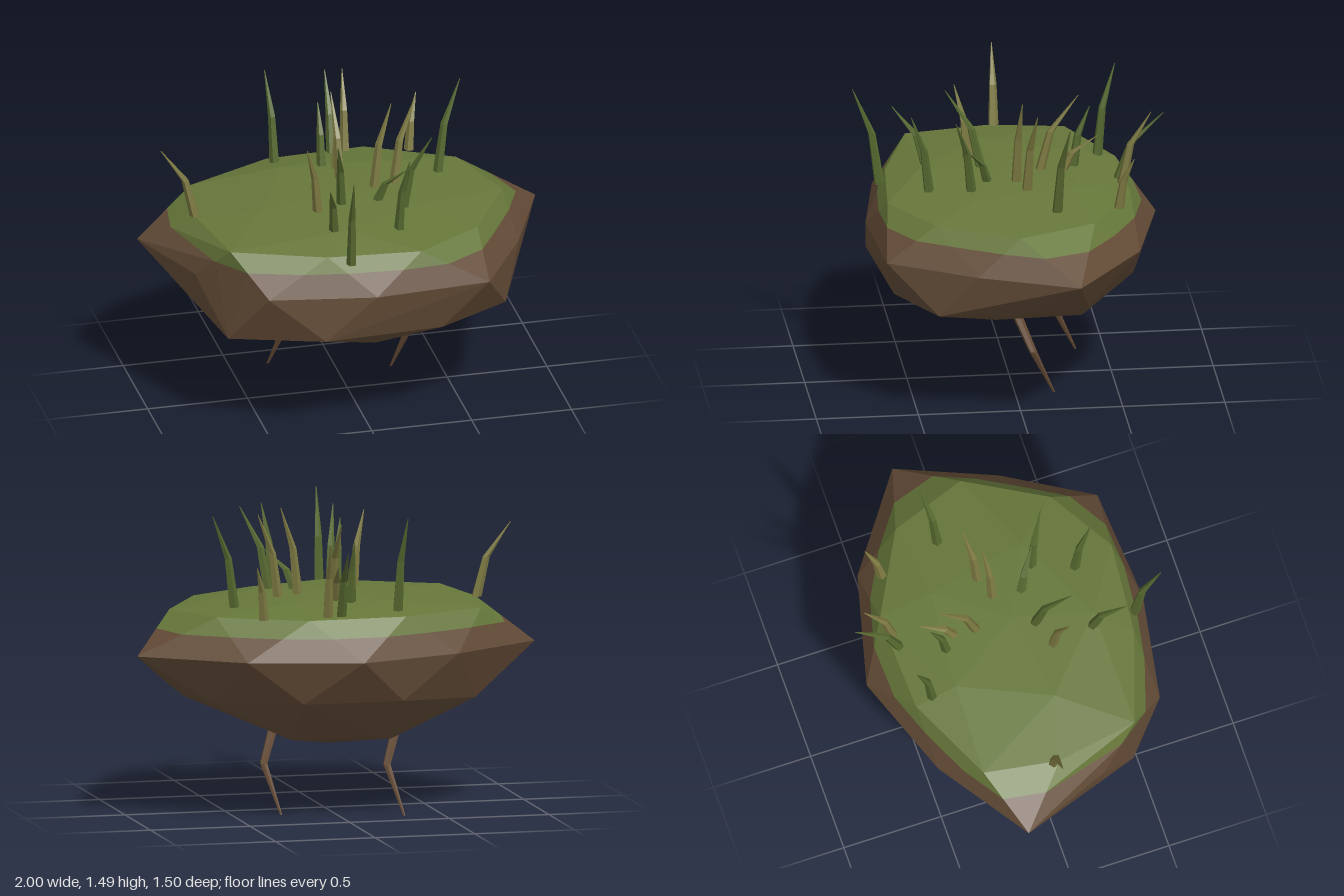
import * as THREE from 'three';
import { ConvexGeometry } from 'three/addons/geometries/ConvexGeometry.js';

const mat = (name, color) => {
  const m = new THREE.MeshStandardMaterial({ color });
  m.name = name;
  return m;
};
const V = (p) => new THREE.Vector3(...p);

// Tapered, bent stem with horizontal cross-sections, path running upwards
function stemGeometry(path, radii, sides) {
  const pos = [];
  const at = (i, j) => {
    const a = (j / sides) * Math.PI * 2 + 0.4;
    const [x, y, z] = path[i];
    return [x + Math.cos(a) * radii[i], y, z - Math.sin(a) * radii[i]];
  };
  for (let i = 0; i < path.length - 1; i++) {
    for (let j = 0; j < sides; j++) {
      const a = at(i, j), b = at(i, j + 1), c = at(i + 1, j + 1), d = at(i + 1, j);
      pos.push(...a, ...b, ...c, ...a, ...c, ...d);
    }
  }
  const g = new THREE.BufferGeometry();
  g.setAttribute('position', new THREE.Float32BufferAttribute(pos, 3));
  g.computeVertexNormals();
  return g;
}

export function createModel() {
  const group = new THREE.Group();
  const grass = mat('grass green', 0x66773a);
  const soil = mat('soil brown', 0x644c37);
  const bladeGreen = mat('blade green', 0x56682f);
  const bladeOlive = mat('blade olive', 0x7d7942);
  const rootBrown = mat('root brown', 0x644a34);
  const add = (name, geometry, material) => {
    const m = new THREE.Mesh(geometry, material);
    m.name = name;
    group.add(m);
  };

  // Faceted island: rings of ten, starting at the front and going round by +x
  const rim = [[-0.02, 0.70], [0.55, 0.66], [0.80, 0.24], [1, -0.24], [0.53, -0.58],
    [-0.02, -0.72], [-0.54, -0.53], [-1, -0.22], [-0.82, 0.23], [-0.54, 0.61]]
    .map(([x, z]) => V([x, 0.815, z]));
  const shoulder = [[0.22, 1, 0.62], [0.55, 1, 0.42], [0.77, 1, 0.03], [0.63, 1.01, -0.35],
    [0.22, 1.01, -0.57], [-0.27, 1.01, -0.55], [-0.70, 1.01, -0.35], [-0.76, 1.01, 0.02],
    [-0.69, 1.01, 0.43], [-0.24, 1, 0.58]].map(V);
  const crown = [[0, 1.07, 0.03], [-0.45, 1.06, 0.1], [-0.1, 1.055, 0.42],
    [0.35, 1.05, 0.2], [0.25, 1.055, -0.3], [-0.25, 1.06, -0.34]].map(V);
  const underside = [[0.33, 0.57, 0.60], [0.69, 0.58, 0.42], [0.70, 0.57, 0.03], [0.64, 0.58, -0.32],
    [0.25, 0.60, -0.58], [-0.25, 0.60, -0.58], [-0.68, 0.56, -0.3], [-0.72, 0.58, 0.02],
    [-0.70, 0.54, 0.42], [-0.27, 0.59, 0.67], [0.35, 0.42, 0.1], [0.05, 0.42, 0.39],
    [-0.46, 0.43, 0.1], [-0.25, 0.38, -0.34], [0.25, 0.39, -0.33], [-0.02, 0.31, 0.04]].map(V);

  // Line where turf meets soil, cut across the slope between rim and shoulder
  const turfLine = [];
  shoulder.forEach((s, i) => {
    for (const r of [rim[i], rim[(i + 1) % 10]]) {
      turfLine.push(r.clone().lerp(s, (0.925 - r.y) / (s.y - r.y)));
    }
  });
  add('soil', new ConvexGeometry([...underside, ...rim, ...turfLine]), soil);
  add('turf', new ConvexGeometry([...turfLine, ...shoulder, ...crown]), grass);

  // Grass blades: base x, y, z, then tip x, y, z
  const blades = {
    green: [
      [-0.13, 0.97, 0.62, -0.15, 1.46, 0.75],
      [-0.16, 1.04, 0.39, -0.22, 1.335, 0.55],
      [-0.06, 1.05, 0.13, -0.12, 1.445, 0.30],
      [0.12, 1.05, 0.12, 0.25, 1.25, 0.22],
      [0.23, 1.04, 0.21, 0.35, 1.45, 0.30],
      [0.16, 1.03, 0.41, 0.19, 1.43, 0.50],
      [0.50, 1.03, -0.18, 0.62, 1.49, -0.23],
      [0.05, 1.02, -0.53, 0.07, 1.36, -0.75],
      [-0.25, 1.02, -0.46, -0.28, 1.49, -0.55],
      [-0.05, 1.05, -0.32, -0.05, 1.36, -0.40],
    ],
    olive: [
      [-0.76, 1.01, -0.01, -0.93, 1.375, -0.02],
      [-0.19, 1.05, 0.18, -0.26, 1.42, 0.24],
      [0.14, 1.05, -0.02, 0.23, 1.49, -0.04],
      [0.25, 1.05, -0.06, 0.36, 1.47, -0.10],
      [0.43, 1.01, -0.49, 0.48, 1.28, -0.56],
      [0.12, 1.02, -0.54, 0.14, 1.39, -0.68],
      [0.00, 1.05, -0.15, 0.00, 1.44, -0.34],
      [0.01, 1.05, -0.26, 0.04, 1.24, -0.43],
    ],
  };
  for (const [kind, list] of Object.entries(blades)) {
    for (const b of list) {
      const base = V(b.slice(0, 3)), tip = V(b.slice(3));
      const bend = base.clone().lerp(tip, 0.28);
      bend.y = base.y + (tip.y - base.y) * 0.53;
      const path = [base, bend, tip].map((p) => p.toArray());
      add('grassBlade', stemGeometry(path, [0.026, 0.019, 0.002], 5),
        kind === 'green' ? bladeGreen : bladeOlive);
    }
  }

  // Dangling roots, from tip up into the soil
  const roots = [
    [[0.265, 0, -0.19], [0.325, 0.24, -0.08], [0.25, 0.43, 0]],
    [[-0.31, 0, -0.36], [-0.25, 0.24, -0.25], [-0.325, 0.44, -0.17]],
  ];
  for (const path of roots) add('root', stemGeometry(path, [0.006, 0.02, 0.026], 6), rootBrown);

  return group;
}
